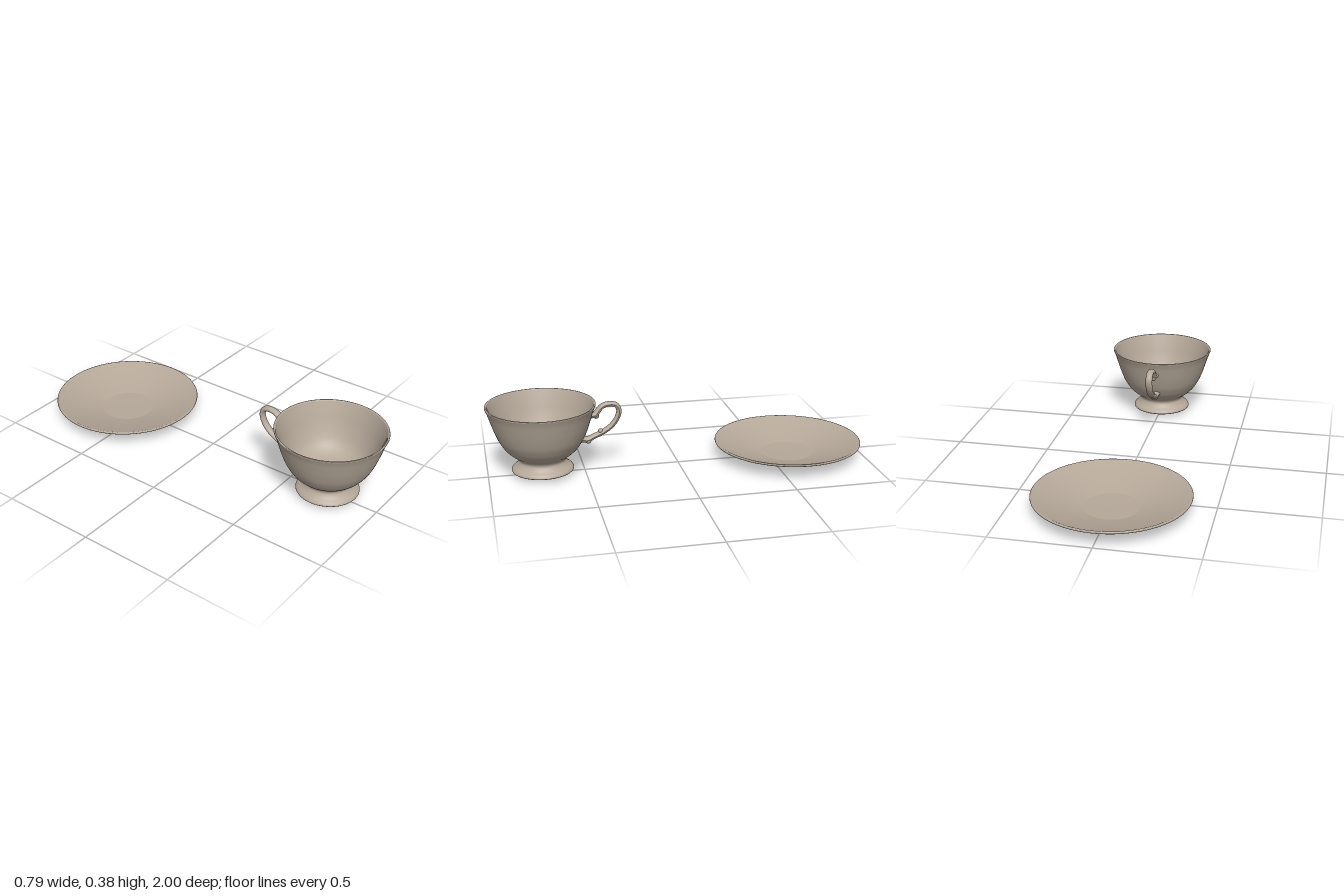
import * as THREE from 'three';

const china = new THREE.MeshStandardMaterial({ color: 0xb5a899 });
china.name = 'warm grey china';

const v2 = (p) => new THREE.Vector2(p[0], p[1]);

function add(parent, name, geometry) {
  const mesh = new THREE.Mesh(geometry, china);
  mesh.name = name;
  parent.add(mesh);
  return mesh;
}

// Turned part; the profile runs outward along the underside, up, then inward
function turned(parent, name, profile, smoothSteps = 0) {
  let pts = profile.map(v2);
  if (smoothSteps) pts = new THREE.SplineCurve(pts).getPoints(smoothSteps);
  return add(parent, name, new THREE.LatheGeometry(pts, 96));
}

function makeCup() {
  const cup = new THREE.Group();
  cup.name = 'cup';
  turned(cup, 'footUnderside', [[0, 0.024], [0.142, 0.024], [0.148, 0.02]]);
  turned(cup, 'footAndBowl', [
    [0.148, 0.02], [0.158, 0.024], [0.160, 0.031], [0.152, 0.042], [0.137, 0.054],
    [0.126, 0.068], [0.122, 0.082], [0.132, 0.099], [0.160, 0.119], [0.188, 0.147],
    [0.207, 0.175], [0.224, 0.206], [0.243, 0.255], [0.259, 0.305], [0.270, 0.34],
    [0.280, 0.365],
  ], 70);
  turned(cup, 'rim', [
    [0.280, 0.365], [0.282, 0.370], [0.281, 0.374], [0.277, 0.375], [0.273, 0.373], [0.270, 0.366],
  ], 12);
  turned(cup, 'bowlInside', [
    [0.270, 0.366], [0.259, 0.335], [0.248, 0.303], [0.232, 0.255], [0.212, 0.206],
    [0.192, 0.170], [0.165, 0.142], [0.120, 0.119], [0.060, 0.109], [0, 0.107],
  ], 50);

  // Scrolled handle on the back, wider across than it is thick
  const handle = new THREE.Group();
  handle.name = 'handle';
  const path = new THREE.CatmullRomCurve3([
    [0.462, 0.300], [0.440, 0.300], [0.424, 0.318], [0.402, 0.342], [0.365, 0.353],
    [0.330, 0.346], [0.314, 0.318], [0.324, 0.274], [0.356, 0.232], [0.400, 0.202],
    [0.450, 0.180], [0.480, 0.167], [0.515, 0.172],
  ].map(([z, y]) => new THREE.Vector3(0, y, z)));
  const sides = 14, steps = 80;
  const loop = new THREE.TubeGeometry(path, steps, 0.0135, sides);
  // Swell the tube towards both joints
  const pos = loop.attributes.position, p = new THREE.Vector3();
  for (let i = 0; i < pos.count; i++) {
    const t = Math.floor(i / (sides + 1)) / steps;
    const c = path.getPointAt(t);
    const swell = 1 + 0.4 * Math.pow(Math.abs(2 * t - 1), 6);
    p.fromBufferAttribute(pos, i).sub(c).multiplyScalar(swell);
    p.x *= 1.4;
    p.add(c);
    pos.setXYZ(i, p.x, p.y, p.z);
  }
  loop.computeVertexNormals();
  add(handle, 'handleLoop', loop);

  // Small scroll tips: z, y, radius
  for (const [name, z, y, r] of [
    ['upperScroll', 0.434, 0.293, 0.016],
    ['innerScroll', 0.412, 0.208, 0.013],
    ['lowerScroll', 0.478, 0.161, 0.017],
  ]) {
    const tip = add(handle, name, new THREE.SphereGeometry(r, 18, 12));
    tip.position.set(0, y, z);
    tip.scale.x = 1.2;
  }
  handle.position.z = -0.718;
  cup.add(handle);
  return cup;
}

function makeSaucer() {
  const saucer = new THREE.Group();
  saucer.name = 'saucer';
  turned(saucer, 'saucerBase', [[0, 0], [0.128, 0]]);
  turned(saucer, 'saucerUnderside', [
    [0.128, 0], [0.20, 0.018], [0.30, 0.045], [0.388, 0.072],
  ], 16);
  turned(saucer, 'saucerRim', [
    [0.388, 0.072], [0.392, 0.075], [0.393, 0.080], [0.391, 0.084], [0.386, 0.085], [0.382, 0.083],
  ], 12);
  turned(saucer, 'saucerInside', [
    [0.382, 0.083], [0.30, 0.056], [0.21, 0.030], [0.14, 0.013],
  ], 16);
  turned(saucer, 'saucerWell', [[0.14, 0.013], [0, 0.011]]);
  return saucer;
}

export function createModel() {
  const model = new THREE.Group();
  model.name = 'cupAndSaucer';
  const cup = makeCup();
  cup.position.z = 0.718;
  const saucer = makeSaucer();
  saucer.position.z = -0.607;
  model.add(cup, saucer);
  return model;
}
